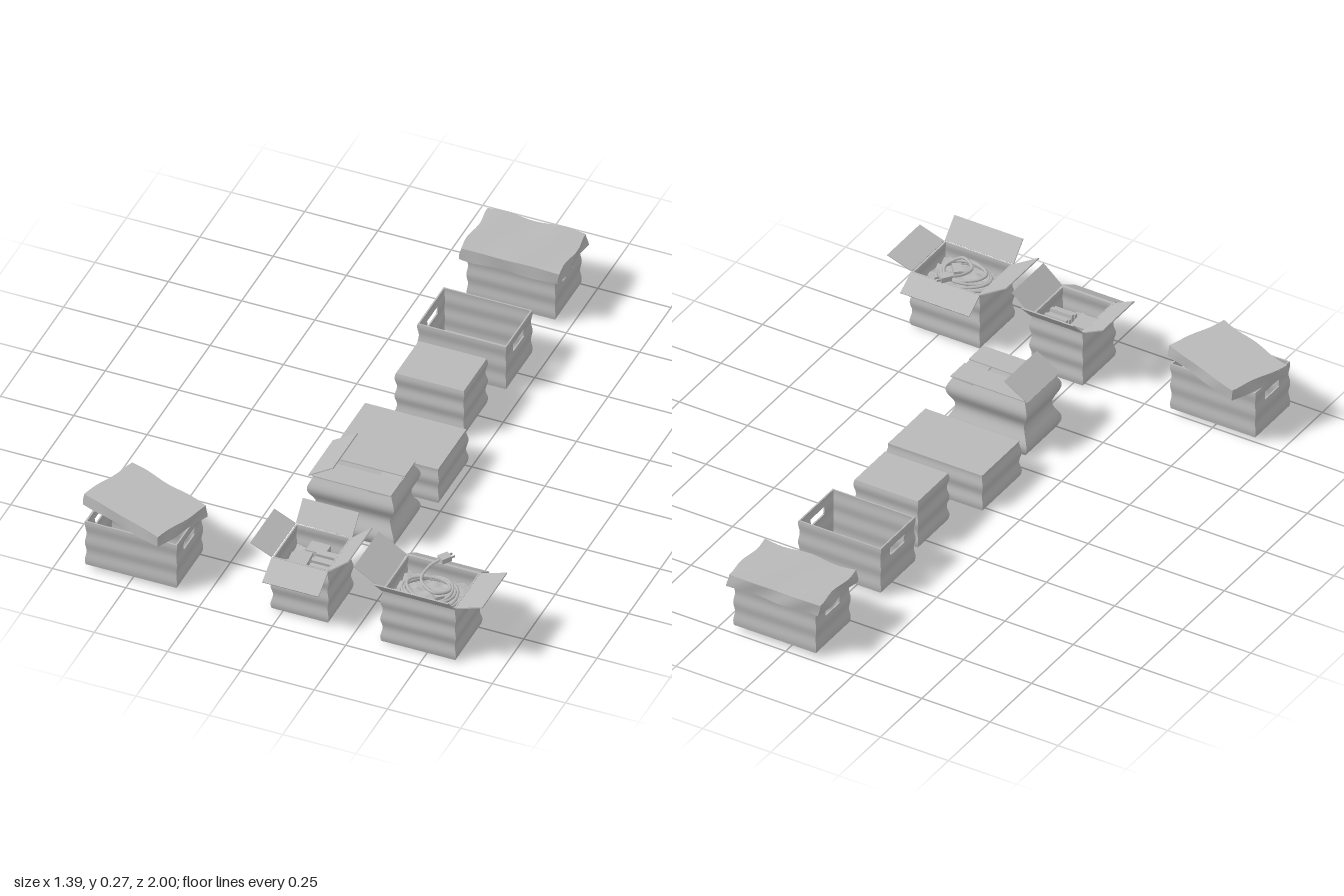
import * as THREE from 'three';
import { mergeGeometries } from 'three/addons/utils/BufferGeometryUtils.js';

const card = new THREE.MeshStandardMaterial({ color: 0xb8b8b8 });
card.name = 'grey cardboard';
const T = 0.005; // board thickness

function add(parent, name, geo) {
  const m = new THREE.Mesh(geo, card);
  m.name = name;
  parent.add(m);
  return m;
}

function group(parent, name, x = 0, y = 0, z = 0) {
  const g = new THREE.Group();
  g.name = name;
  g.position.set(x, y, z);
  parent.add(g);
  return g;
}

// Block between two corners, cut into rows so that it can be bent
function block(x0, x1, y0, y1, z0, z1, sx = 1, sy = 1, sz = 1) {
  return new THREE.BoxGeometry(x1 - x0, y1 - y0, z1 - z0, sx, sy, sz)
    .translate((x0 + x1) / 2, (y0 + y1) / 2, (z0 + z1) / 2);
}

// Swell the sides in and out with height
function crumple(geo, hw, hd, amp, period) {
  const p = geo.attributes.position;
  for (let i = 0; i < p.count; i++) {
    const w = amp * Math.sin((p.getY(i) / period) * Math.PI * 2);
    p.setX(i, p.getX(i) * (1 + w / hw));
    p.setZ(i, p.getZ(i) * (1 + w / hd));
  }
  geo.computeVertexNormals();
  return geo;
}

// Open box with a floor; handles cuts a grip hole in both end walls
function openBox(w, d, h, { amp = 0.003, period = 0.07, handles = false } = {}) {
  const hw = w / 2, hd = d / 2, parts = [];
  const rows = (a) => Math.max(2, Math.round(a * 150));
  parts.push(block(-hw, hw, 0, T, -hd, hd));
  for (const s of [-1, 1]) {
    const zs = [s * hd, s * (hd - T)].sort((a, b) => a - b);
    parts.push(block(-hw, hw, 0, h, ...zs, 1, rows(h), 1));
    const xs = [s * hw, s * (hw - T)].sort((a, b) => a - b);
    const i = hd - T;
    if (!handles) {
      parts.push(block(...xs, 0, h, -i, i, 1, rows(h), 1));
      continue;
    }
    const y0 = h - 0.06, y1 = h - 0.03, g = 0.043;
    parts.push(block(...xs, 0, y0, -i, i, 1, rows(y0), 1));
    parts.push(block(...xs, y1, h, -i, i, 1, 5, 1));
    parts.push(block(...xs, y0, y1, -i, -g, 1, 5, 1), block(...xs, y0, y1, g, i, 1, 5, 1));
  }
  return crumple(mergeGeometries(parts), hw, hd, amp, period);
}

// Slightly battered lid, open below
function lidGeometry(w, d, h, warp) {
  const hw = w / 2, hd = d / 2;
  const geo = mergeGeometries([
    block(-hw, hw, h - T, h, -hd, hd, 14, 1, 10),
    block(-hw, hw, 0, h - T, hd - T, hd, 14, 3, 1),
    block(-hw, hw, 0, h - T, -hd, -hd + T, 14, 3, 1),
    block(hw - T, hw, 0, h - T, -hd + T, hd - T, 1, 3, 10),
    block(-hw, -hw + T, 0, h - T, -hd + T, hd - T, 1, 3, 10),
  ]);
  const p = geo.attributes.position;
  for (let i = 0; i < p.count; i++) {
    const x = p.getX(i), y = p.getY(i), z = p.getZ(i);
    p.setXYZ(i, x + warp * Math.sin(z * 38 + y * 60),
      y + warp * 0.5 * Math.sin(x * 30 + z * 12),
      z + warp * Math.sin(x * 32 + y * 40) * 0.7);
  }
  geo.computeVertexNormals();
  return geo;
}

// Flap from a hinge to its free edge; axis is the direction it opens along
function flap(parent, name, axis, a, ya, b, yb, c, width) {
  const len = Math.hypot(b - a, yb - ya), ang = Math.atan2(yb - ya, b - a);
  const along = axis === 'x';
  const m = add(parent, name, along
    ? new THREE.BoxGeometry(len, 0.004, width) : new THREE.BoxGeometry(width, 0.004, len));
  const mid = (a + b) / 2, y = (ya + yb) / 2;
  if (along) {
    m.position.set(mid, y, c);
    m.rotation.z = ang;
  } else {
    m.position.set(c, y, mid);
    m.rotation.x = -ang;
  }
}

// Crumpled paper filling
function filler(w, d) {
  const geo = new THREE.PlaneGeometry(w, d, 24, 20).rotateX(-Math.PI / 2);
  const p = geo.attributes.position;
  for (let i = 0; i < p.count; i++) {
    const x = p.getX(i), z = p.getZ(i);
    p.setY(i, 0.005 * Math.sin(x * 130 + 4 * Math.sin(z * 70)) + 0.005 * Math.sin(z * 150 + x * 60));
  }
  geo.computeVertexNormals();
  return geo;
}

export function createModel() {
  const root = new THREE.Group();
  root.name = 'cardboardBoxes';

  // Storage box with a lid laid on askew
  const askew = group(root, 'askewLidBox', -0.5, 0.016, 0.855);
  add(askew, 'base', openBox(0.31, 0.205, 0.169, { handles: true, amp: 0.002 }));
  const lid = add(askew, 'lid', lidGeometry(0.32, 0.222, 0.042, 0.003));
  lid.position.set(-0.005, 0.17, -0.022);
  lid.rotation.y = -0.357;

  // Open storage box
  const open = group(root, 'openStorageBox', 0.05, 0.018, -0.49);
  add(open, 'base', openBox(0.3, 0.205, 0.167, { handles: true, amp: 0.002 }));

  // Storage box with its lid on
  const lidded = group(root, 'liddedStorageBox', 0.05, 0.018, -0.88);
  add(lidded, 'base', openBox(0.3, 0.205, 0.167, { handles: true, amp: 0.002 }));
  add(lidded, 'lid', lidGeometry(0.335, 0.227, 0.043, 0.005)).position.y = 0.15;

  // Two closed boxes
  const closed = [
    ['lowClosedBox', 0.0525, 0, 0.0975, 0.35, 0.23, 0.13],
    ['smallClosedBox', 0.0525, 0.01, -0.2175, 0.232, 0.182, 0.175],
  ];
  for (const [name, x, y, z, w, d, h] of closed) {
    const geo = block(-w / 2, w / 2, 0, h, -d / 2, d / 2, 1, 24, 1);
    add(root, name, crumple(geo, w / 2, d / 2, 0.003, 0.07)).position.set(x, y, z);
  }

  // Crushed box with one flap lifted
  const crushed = group(root, 'crushedBox', 0.0525, 0.008, 0.398);
  add(crushed, 'base', openBox(0.275, 0.19, 0.203, { amp: 0.011, period: 0.125 }));
  flap(crushed, 'liftedFlap', 'x', -0.146, 0.203, -0.062, 0.257, 0, 0.195);
  flap(crushed, 'innerFlap', 'x', 0.134, 0.2, 0.057, 0.197, 0, 0.185);
  flap(crushed, 'frontFlap', 'z', 0.098, 0.205, 0.012, 0.205, 0, 0.27);
  flap(crushed, 'backFlap', 'z', -0.098, 0.205, -0.013, 0.205, 0, 0.27);

  // Open box of books
  const books = group(root, 'bookBox', 0.06, 0.005, 0.825);
  add(books, 'base', openBox(0.192, 0.192, 0.2));
  flap(books, 'leftFlap', 'x', 0.096, 0.2, 0.165, 0.26, 0, 0.188);
  flap(books, 'rightFlap', 'x', -0.096, 0.2, -0.17, 0.235, 0, 0.188);
  flap(books, 'frontFlap', 'z', 0.096, 0.2, 0.172, 0.155, 0, 0.192);
  flap(books, 'backFlap', 'z', -0.096, 0.2, -0.152, 0.26, 0, 0.192);
  add(books, 'paperFilling', filler(0.18, 0.18)).position.y = 0.12;
  for (let i = 0; i < 5; i++) {
    const b = add(books, 'standingBook', new THREE.BoxGeometry(0.08, 0.07, 0.014));
    b.position.set(0.046, 0.125 + (i % 2) * 0.008, -0.045 + i * 0.018);
    b.rotation.x = 0.12;
  }
  for (let i = 0; i < 3; i++) {
    const b = add(books, 'stackedBook', new THREE.BoxGeometry(0.06, 0.014, 0.07));
    b.position.set(-0.035, 0.122 + i * 0.015, 0.01);
    b.rotation.y = 0.08 * (i - 1);
  }
  add(books, 'smallCarton', new THREE.BoxGeometry(0.065, 0.06, 0.05)).position.set(-0.005, 0.125, -0.062);

  // Open box holding a coiled cable
  const cable = group(root, 'cableBox', 0.4725, 0.005, 0.838);
  add(cable, 'base', openBox(0.252, 0.205, 0.2));
  flap(cable, 'leftFlap', 'x', 0.126, 0.2, 0.216, 0.23, 0, 0.195);
  flap(cable, 'rightFlap', 'x', -0.126, 0.2, -0.222, 0.26, 0, 0.195);
  flap(cable, 'frontFlap', 'z', 0.102, 0.2, 0.16, 0.263, 0, 0.252);
  flap(cable, 'backFlap', 'z', -0.102, 0.2, -0.166, 0.158, 0, 0.252);
  add(cable, 'paperFilling', filler(0.24, 0.193)).position.y = 0.14;
  const pts = [];
  for (let i = 0; i <= 64; i++) {
    const a = (i / 16) * Math.PI * 2, r = 0.1 - i * 0.0005;
    pts.push(new THREE.Vector3(r * Math.cos(a) - 0.005, 0.155 + i * 0.0005 + 0.005 * Math.sin(a * 1.5),
      r * 0.8 * Math.sin(a + 0.2 * Math.sin(a)) + 0.01));
  }
  pts.push(new THREE.Vector3(0.03, 0.2, 0.05), new THREE.Vector3(-0.03, 0.205, 0.01),
    new THREE.Vector3(-0.03, 0.215, -0.05), new THREE.Vector3(-0.01, 0.222, -0.085));
  add(cable, 'coiledCable', new THREE.TubeGeometry(new THREE.CatmullRomCurve3(pts), 260, 0.005, 8));
  const plug = group(cable, 'plug', 0.003, 0.223, -0.1);
  plug.rotation.y = -0.6;
  add(plug, 'plugBody', new THREE.BoxGeometry(0.03, 0.018, 0.036));
  for (const s of [-1, 1]) {
    add(plug, 'prong', new THREE.BoxGeometry(0.003, 0.007, 0.016)).position.set(s * 0.008, 0, -0.024);
  }
  const socket = add(cable, 'socketEnd', new THREE.BoxGeometry(0.03, 0.018, 0.05));
  socket.position.set(0.03, 0.172, 0.02);
  socket.rotation.y = 0.7;

  return root;
}
